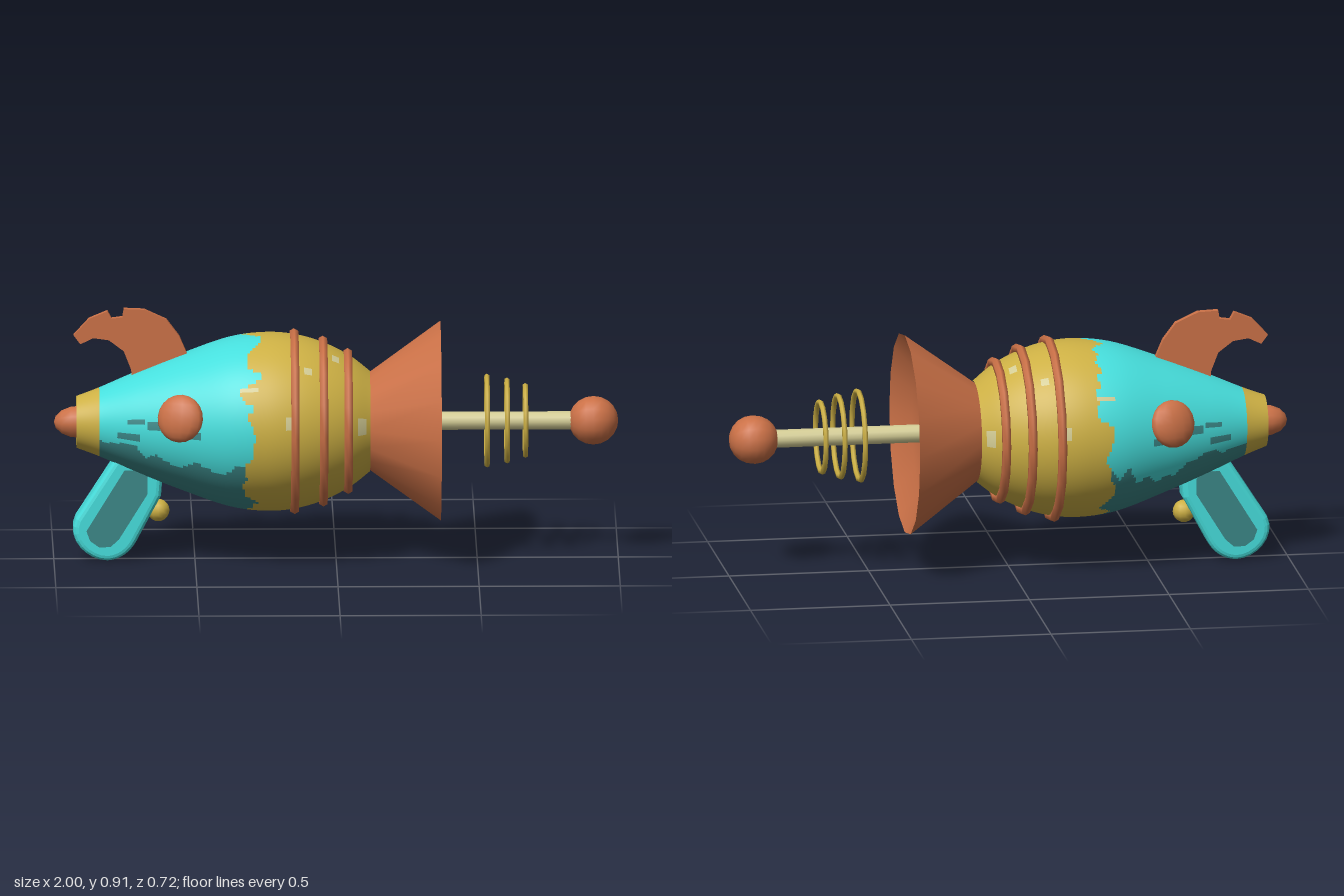
import * as THREE from 'three';

const mat = (name, color) => {
  const m = new THREE.MeshStandardMaterial({ color });
  m.name = name;
  return m;
};

export function createModel() {
  const copper = mat('copper', 0xcb7147);
  const brass = mat('brass', 0xcdb044);
  const cyan = mat('cyan paint', 0x46dedc);
  const teal = mat('dark teal paint', 0x3b8787);
  const cream = mat('cream', 0xd2cb94);

  const group = new THREE.Group();
  const AXIS = 0.5;
  const add = (name, geo, material, x = 0, y = 0, z = 0) => {
    const m = new THREE.Mesh(geo, material);
    m.name = name;
    m.position.set(x, y, z);
    group.add(m);
    return m;
  };
  const vecs = (pts) => pts.map(([a, b]) => new THREE.Vector2(a, b));
  // Lathe around the barrel axis; points are [radius, x], running towards +x for outer walls
  const turned = (name, pts, material, sides = 16) =>
    add(name, new THREE.LatheGeometry(vecs(pts), sides).rotateZ(-Math.PI / 2), material, 0, AXIS, 0);
  const ring = (name, x, radius, tube, material) =>
    add(name, new THREE.TorusGeometry(radius, tube, 6, 16).rotateY(Math.PI / 2).rotateX(Math.PI / 2), material, x, AXIS, 0);

  // Repeatable jagged noise in -1..1
  const hash = (n) => {
    const s = Math.sin(n * 127.1 + 11.7) * 43758.5453;
    return (s - Math.floor(s)) * 2 - 1;
  };
  const jag = (t, period) => {
    const i = Math.floor(t), f = t - i;
    return hash(i % period) * (1 - f) + hash((i + 1) % period) * f;
  };

  // Body: turned shell with chipped paint, split into colours by cell
  const profile = new THREE.SplineCurve(vecs([
    [-0.92, 0.092], [-0.84, 0.122], [-0.7, 0.182], [-0.54, 0.245], [-0.38, 0.3], [-0.25, 0.317],
    [-0.14, 0.308], [-0.04, 0.278], [0.05, 0.232], [0.12, 0.178],
  ])).getSpacedPoints(116);
  const SIDES = 128;
  // Worn patches: x, angle, half length, half angle
  const chips = [[-0.31, 0.57, 0.035, 0.04], [-0.17, 0.16, 0.012, 0.07], [0.09, 0.1, 0.012, 0.13],
    [-0.1, 0.85, 0.012, 0.05], [0.0, 1.2, 0.012, 0.08]];
  const flecks = [[-0.71, 0.2, 0.03, 0.05], [-0.65, 0.12, 0.02, 0.07], [-0.74, -0.12, 0.04, 0.06],
    [-0.5, 0.0, 0.02, 0.03]];
  const hit = (list, x, a) => list.some(([cx, ca, dx, da]) => Math.abs(x - cx) < dx && Math.abs(a - ca) < da);
  const paintAt = (x, angle, j) => {
    const side = Math.cos(angle) >= 0 ? 0 : 1;
    const a = Math.asin(Math.sin(angle)); // same layout on both sides
    if (hit(chips, x, a)) return 3;
    const turn = j / SIDES;
    const edge = -0.315 + 0.04 * jag(turn * 34, 34) + 0.022 * jag(turn * 64 + 0.5, 64);
    if (x < -0.84 || x > edge) return 0;
    const mid = Math.max(0, 1 - Math.abs(x + 0.56) / 0.24);
    const low = -0.33 - 0.25 * mid + 0.13 * jag((x + 1) * 28 + side * 40, 999);
    return Math.sin(angle) < low || hit(flecks, x, a) ? 2 : 1;
  };
  const pos = [], faces = [[], [], [], []];
  profile.forEach((p, i) => {
    for (let j = 0; j < SIDES; j++) {
      const a = (j / SIDES) * Math.PI * 2;
      pos.push(p.x, p.y * Math.sin(a), p.y * Math.cos(a));
      if (i === profile.length - 1) continue;
      const k = (j + 1) % SIDES, next = i + 1;
      const A = i * SIDES + j, B = next * SIDES + j, C = next * SIDES + k, D = i * SIDES + k;
      const x = (p.x + profile[next].x) / 2;
      faces[paintAt(x, ((j + 0.5) / SIDES) * Math.PI * 2, j + 0.5)].push(A, B, C, A, C, D);
    }
  });
  const bodyGeo = new THREE.BufferGeometry();
  bodyGeo.setAttribute('position', new THREE.Float32BufferAttribute(pos, 3));
  bodyGeo.setIndex(faces.flat());
  let start = 0;
  faces.forEach((f, i) => { bodyGeo.addGroup(start, f.length, i); start += f.length; });
  bodyGeo.computeVertexNormals();
  add('body', bodyGeo, [brass, cyan, teal, cream], 0, AXIS, 0);

  // Tail end
  add('tailCap', new THREE.CircleGeometry(0.092, 32).rotateY(-Math.PI / 2), brass, -0.92, AXIS, 0);
  turned('tailTip', [[0, -1], [0.022, -0.993], [0.042, -0.972], [0.055, -0.94], [0.058, -0.9]], copper, 12);

  // Hoops around the body
  [[-0.148, 0.318], [-0.046, 0.291], [0.042, 0.246]].forEach(([x, r]) => ring('bodyHoop', x, r, 0.017, copper));

  // Flared muzzle with a shallow dish
  turned('muzzleCone', [[0.17, 0.11], [0.36, 0.37]], copper);
  turned('muzzleDish', [[0.36, 0.37], [0.26, 0.305], [0.14, 0.275], [0, 0.27]], copper);

  // Emitter rod, coils and ball
  add('emitterRod', new THREE.CylinderGeometry(0.033, 0.033, 0.6, 12).rotateZ(Math.PI / 2), cream, 0.56, AXIS, 0);
  [[0.535, 0.159], [0.606, 0.145], [0.671, 0.125]].forEach(([x, r]) => ring('emitterCoil', x, r, 0.01, brass));
  add('emitterBall', new THREE.SphereGeometry(0.088, 14, 10).rotateZ(Math.PI / 2), copper, 0.912, AXIS, 0);

  // Round bosses on both flanks, tilted to follow the body
  for (const s of [1, -1]) {
    const boss = add('sideBoss', new THREE.SphereGeometry(0.085, 14, 10), copper, -0.555, 0.56, s * 0.237);
    boss.scale.set(1, 1, 0.5);
    boss.lookAt(-0.555 - 0.36, 0.56 + 0.25, s * (0.237 + 0.97));
  }

  // Hooked top fin
  const finShape = new THREE.Shape(vecs([
    [-0.93, 0.815], [-0.875, 0.875], [-0.81, 0.902], [-0.795, 0.875], [-0.757, 0.88], [-0.752, 0.91],
    [-0.68, 0.907], [-0.6, 0.87], [-0.555, 0.81], [-0.527, 0.745], [-0.53, 0.67], [-0.72, 0.6],
    [-0.726, 0.69], [-0.752, 0.757], [-0.805, 0.797], [-0.86, 0.805], [-0.906, 0.783],
  ]));
  add('topFin', new THREE.ExtrudeGeometry(finShape, { depth: 0.026, bevelEnabled: false }), copper, 0, 0, -0.013);

  // Slanted grip with rounded edges and inlaid side panels
  const gripShape = new THREE.Shape();
  gripShape.moveTo(-0.77, 0.36);
  gripShape.lineTo(-0.905, 0.15);
  gripShape.bezierCurveTo(-0.935, 0.09, -0.87, 0.025, -0.81, 0.025);
  gripShape.quadraticCurveTo(-0.755, 0.03, -0.725, 0.085);
  gripShape.lineTo(-0.64, 0.245);
  gripShape.lineTo(-0.63, 0.36);
  const gripGeo = new THREE.ExtrudeGeometry(gripShape, {
    depth: 0.066, bevelThickness: 0.022, bevelSize: 0.02, bevelSegments: 3, curveSegments: 8,
  });
  add('grip', gripGeo, cyan, 0, 0, -0.033);
  const panelShape = new THREE.Shape(vecs([
    [-0.885, 0.115], [-0.872, 0.08], [-0.84, 0.057], [-0.8, 0.058], [-0.77, 0.085], [-0.668, 0.25],
    [-0.668, 0.31], [-0.69, 0.335], [-0.75, 0.335],
  ]));
  for (const s of [1, -1]) {
    add('gripPanel', new THREE.ExtrudeGeometry(panelShape, { depth: 0.004, bevelEnabled: false }), teal,
      0, 0, s * 0.056 - 0.002);
  }

  // Trigger button on a short stem
  add('trigger', new THREE.SphereGeometry(0.04, 12, 10), brass, -0.63, 0.18, 0);
  const stem = add('triggerStem', new THREE.CylinderGeometry(0.024, 0.024, 0.08, 10), brass, -0.66, 0.2, 0);
  stem.rotation.z = 0.98;

  return group;
}
